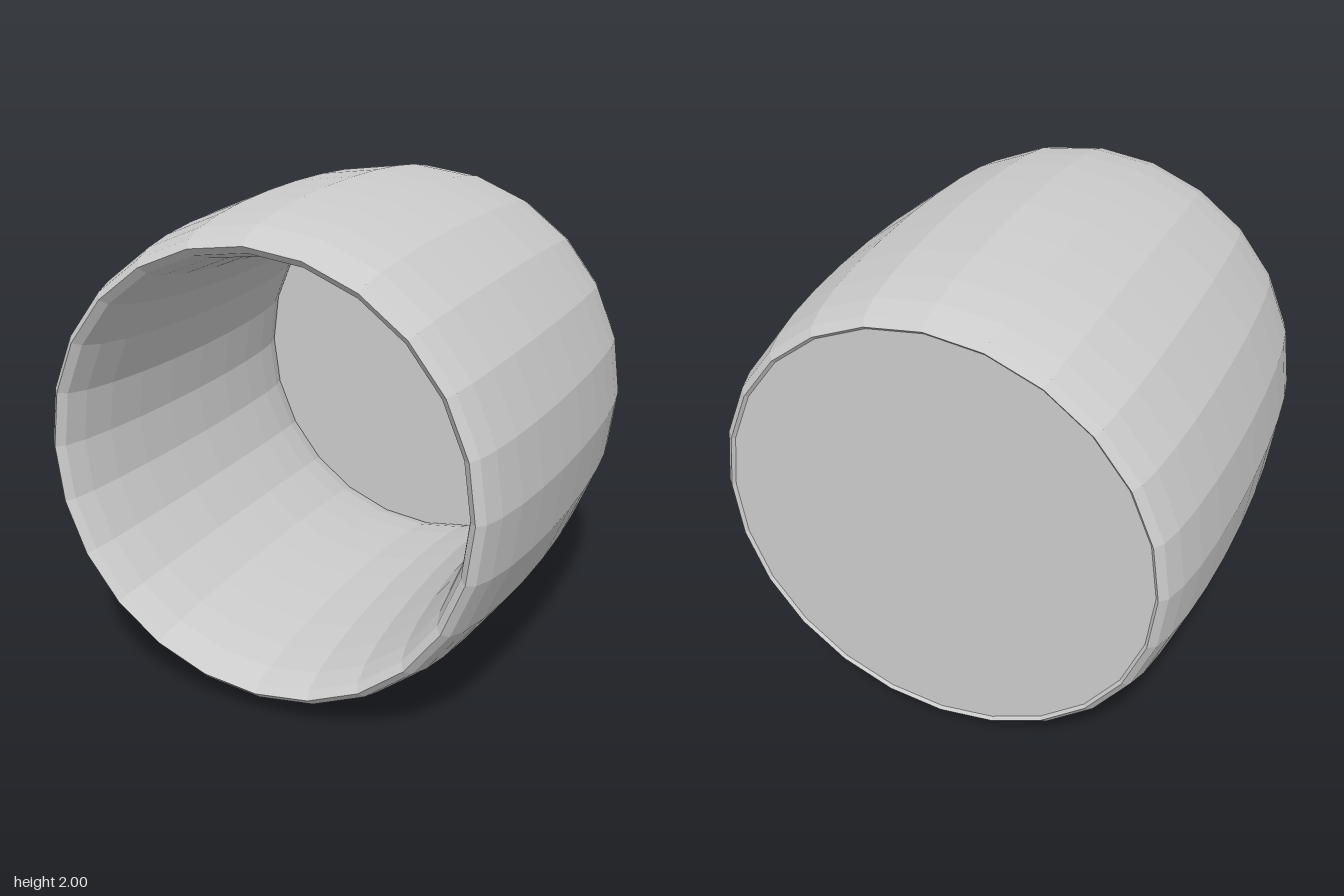
import * as THREE from 'three';

const SIDES = 24;
const RING_RADIUS = 0.885;
const WALL = 0.115; // half the wall thickness at the middle
const HALF_LENGTH = 0.88;

export function createModel() {
  const material = new THREE.MeshStandardMaterial({ color: 0xcccccc, flatShading: true });
  const discMaterial = material.clone();
  discMaterial.side = THREE.DoubleSide;

  // Wall: a ring drawn out along z, thick in the middle and rounded at both rims
  const wallGeometry = new THREE.TorusGeometry(RING_RADIUS, WALL, SIDES, SIDES);
  wallGeometry.scale(1, 1, HALF_LENGTH / WALL);
  const wall = new THREE.Mesh(wallGeometry, material);
  wall.name = 'wall';
  wall.position.y = 1;

  // Thin disc closing the back, just inside the rim
  const back = new THREE.Mesh(new THREE.CircleGeometry(0.875, SIDES), discMaterial);
  back.name = 'backDisc';
  back.position.set(0, 1, -0.868);

  const group = new THREE.Group();
  group.name = 'openBarrel';
  group.add(wall, back);
  return group;
}
